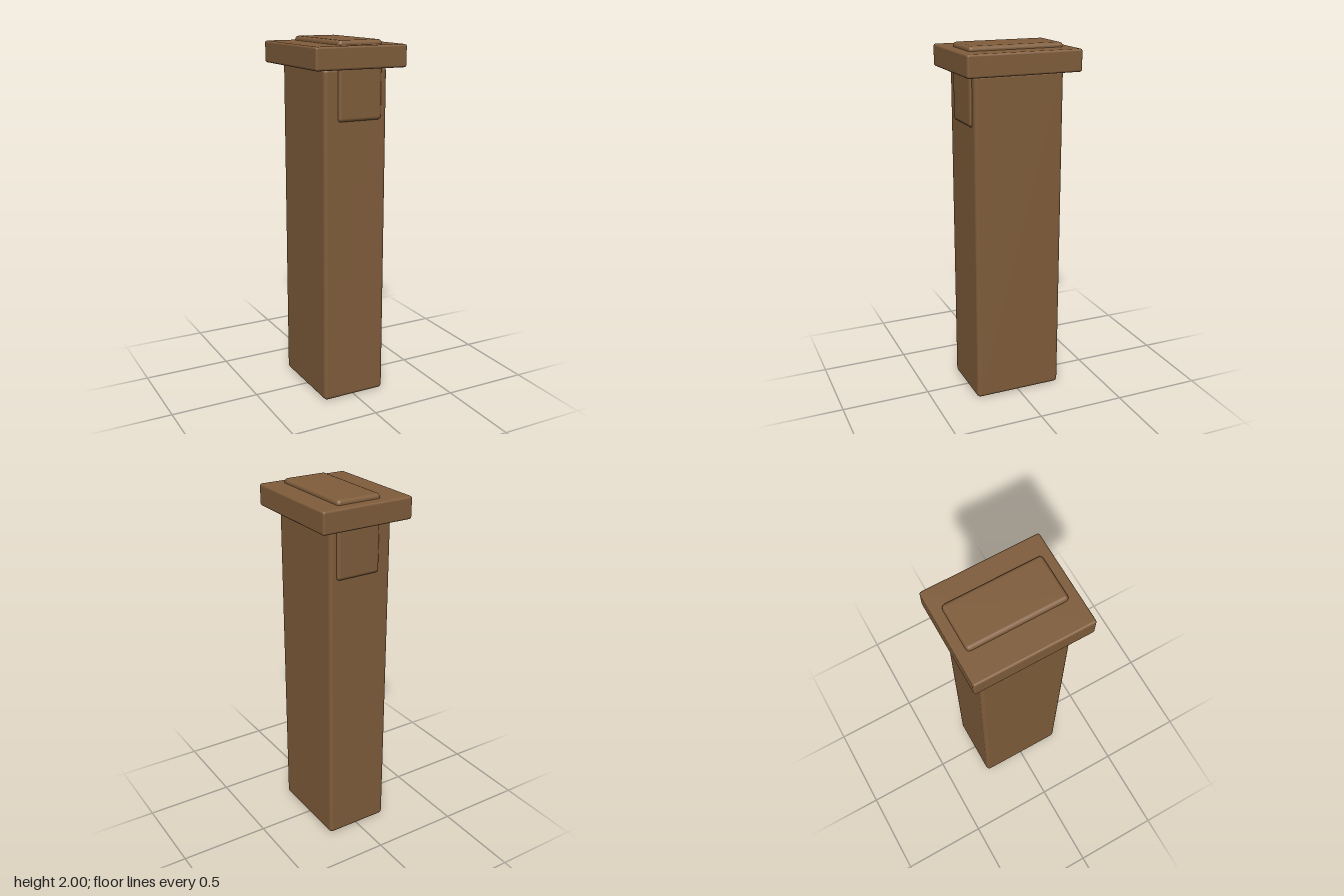
import * as THREE from 'three';
import { RoundedBoxGeometry } from 'three/addons/geometries/RoundedBoxGeometry.js';

export function createModel() {
  const model = new THREE.Group();
  model.name = 'woodenPost';

  const wood = new THREE.MeshStandardMaterial({ color: 0x805d3b });
  wood.name = 'brown wood';

  // Softly bevelled block given by its x, y and z extents
  function block(name, [x0, x1], [y0, y1], [z0, z1], bevel) {
    const geometry = new RoundedBoxGeometry(x1 - x0, y1 - y0, z1 - z0, 2, bevel);
    const mesh = new THREE.Mesh(geometry, wood);
    mesh.name = name;
    mesh.position.set((x0 + x1) / 2, (y0 + y1) / 2, (z0 + z1) / 2);
    model.add(mesh);
  }

  // Tall upright
  block('post', [-0.187, 0.187], [0, 1.86], [-0.255, 0.255], 0.022);
  // Overhanging slab on top
  block('cap', [-0.267, 0.267], [1.855, 1.975], [-0.322, 0.322], 0.012);
  // Off-centre tenon running through the cap and showing on front and back
  block('tenon', [-0.11, 0.15], [1.58, 2], [-0.268, 0.268], 0.02);

  return model;
}
